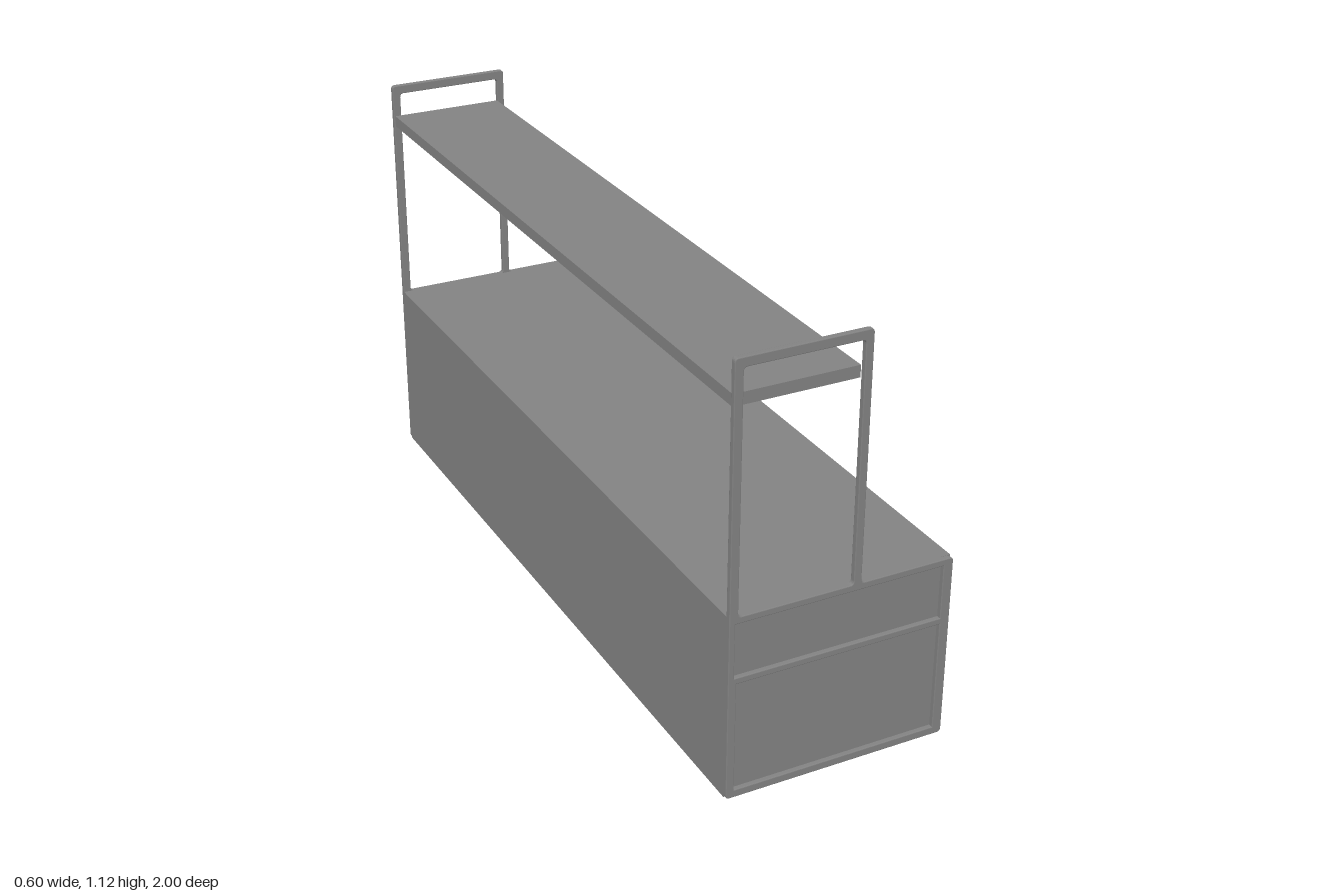
import * as THREE from 'three';

const bodyMaterial = new THREE.MeshStandardMaterial({ color: 0x828282 });
const handleMaterial = new THREE.MeshStandardMaterial({ color: 0xcccccc });

// Square-cornered rectangle traced onto a Shape or Path
function rect(path, x0, y0, x1, y1) {
  path.moveTo(x0, y0);
  path.lineTo(x1, y0);
  path.lineTo(x1, y1);
  path.lineTo(x0, y1);
  path.closePath();
  return path;
}

// Rounded rectangle
function roundRect(path, x0, y0, x1, y1, r) {
  path.moveTo(x0 + r, y0);
  path.lineTo(x1 - r, y0);
  path.quadraticCurveTo(x1, y0, x1, y0 + r);
  path.lineTo(x1, y1 - r);
  path.quadraticCurveTo(x1, y1, x1 - r, y1);
  path.lineTo(x0 + r, y1);
  path.quadraticCurveTo(x0, y1, x0, y1 - r);
  path.lineTo(x0, y0 + r);
  path.quadraticCurveTo(x0, y0, x0 + r, y0);
  return path;
}

// Extrusion with softened edges, exactly `depth` thick, starting at z = 0
function extrude(shape, depth) {
  const b = 0.002;
  return new THREE.ExtrudeGeometry(shape, {
    depth: depth - 2 * b, bevelThickness: b, bevelSize: b, bevelOffset: -b,
    bevelSegments: 2, curveSegments: 5,
  }).translate(0, 0, b);
}

export function createModel() {
  const group = new THREE.Group();
  const add = (name, geometry, x = 0, y = 0, z = 0, material = bodyMaterial) => {
    const mesh = new THREE.Mesh(geometry, material);
    mesh.name = name;
    mesh.position.set(x, y, z);
    group.add(mesh);
    return mesh;
  };

  const back = -0.3, front = 0.286, top = 0.485, panelX = 0.261;

  // Cabinet carcass, whose sides show as the recessed panels
  add('cabinetBody', new THREE.BoxGeometry(panelX - back, top, 1.976), (panelX + back) / 2, top / 2, 0);

  // End frames: cabinet side rails and the tall shelf posts in one outline
  const end = new THREE.Shape();
  const r = 0.01, postX = 0.038, high = 1.115;
  end.moveTo(back + r, 0);
  end.lineTo(front - r, 0);
  end.quadraticCurveTo(front, 0, front, r);
  end.lineTo(front, top - r);
  end.quadraticCurveTo(front, top, front - r, top);
  end.lineTo(postX + r, top);
  end.quadraticCurveTo(postX, top, postX, top + r);
  end.lineTo(postX, high - r);
  end.quadraticCurveTo(postX, high, postX - r, high);
  end.lineTo(back + r, high);
  end.quadraticCurveTo(back, high, back, high - r);
  end.lineTo(back, r);
  end.quadraticCurveTo(back, 0, back + r, 0);
  end.holes.push(
    rect(new THREE.Path(), -0.279, 0.02, 0.261, 0.31),
    rect(new THREE.Path(), -0.285, 0.326, 0.261, 0.468),
    roundRect(new THREE.Path(), -0.278, top, 0.018, 1.091, 0.01));
  const endGeometry = extrude(end, 0.015);
  add('endFrameLeft', endGeometry, 0, 0, 0.985);
  add('endFrameRight', endGeometry, 0, 0, -1);

  // Front rails and dividers around the drawers, door and narrow panel
  const railX = (panelX + front) / 2, railDepth = front - panelX;
  const rail = (name, z0, z1, y0, y1) =>
    add(name, new THREE.BoxGeometry(railDepth, y1 - y0, z1 - z0), railX, (y0 + y1) / 2, (z0 + z1) / 2);
  rail('bottomRail', -0.986, 0.986, 0, 0.02);
  rail('topRail', -0.986, 0.986, 0.47, top);
  for (const [z0, z1] of [[0.394, 0.414], [-0.186, -0.167], [-0.775, -0.755]])
    rail('frontDivider', z0, z1, 0.02, 0.47);
  for (const [z0, z1] of [[0.414, 0.986], [-0.167, 0.394]])
    rail('drawerRail', z0, z1, 0.312, 0.329);

  // Bowed handles
  const bow = new THREE.CatmullRomCurve3(
    [[-0.005, -0.075], [0.013, -0.05], [0.025, -0.025], [0.0285, 0], [0.025, 0.025], [0.013, 0.05], [-0.005, 0.075]]
      .map(([x, z]) => new THREE.Vector3(x, 0, z)));
  const handleGeometry = new THREE.TubeGeometry(bow, 24, 0.0085, 10);
  for (const z of [0.713, 0.117])
    for (const y of [0.255, 0.415]) add('drawerHandle', handleGeometry, panelX, y, z, handleMaterial);
  add('doorHandle', handleGeometry, panelX, 0.27, -0.69, handleMaterial).rotation.x = Math.PI / 2;

  // Raised shelf between the end frames
  add('shelf', new THREE.BoxGeometry(0.312, 0.03, 1.972), -0.14, 1.0125, 0);

  return group;
}
